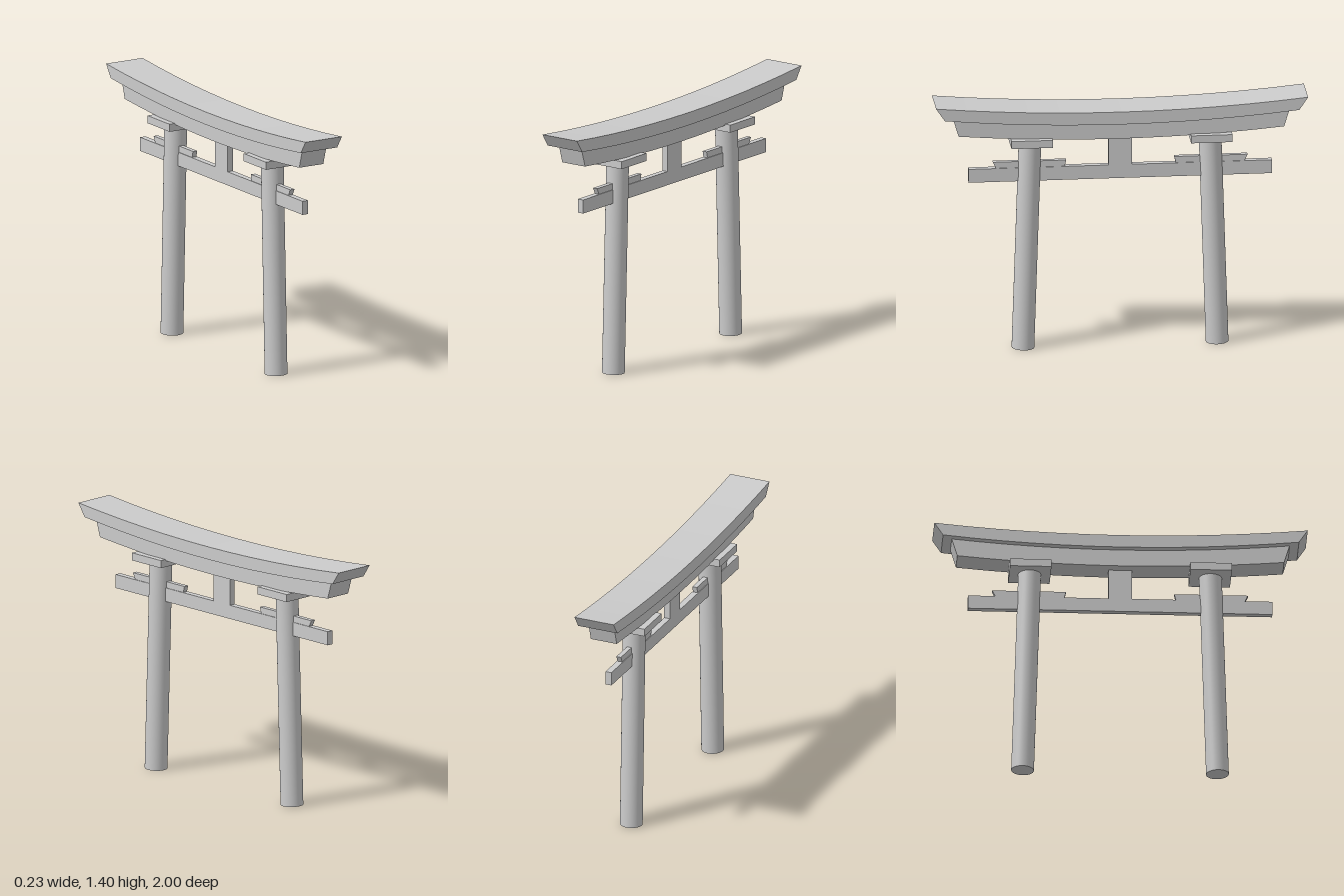
import * as THREE from 'three';

const material = new THREE.MeshStandardMaterial({ color: 0xcccccc, flatShading: true });
const smooth = new THREE.MeshStandardMaterial({ color: 0xcccccc });

function add(group, name, geometry, x, y, z, mat = material) {
  const mesh = new THREE.Mesh(geometry, mat);
  mesh.name = name;
  mesh.position.set(x, y, z);
  group.add(mesh);
  return mesh;
}

// Side outline (along z, height y) extruded to a thickness along x
function slab(points, thickness) {
  const shape = new THREE.Shape(points.map(([z, y]) => new THREE.Vector2(-z, y)));
  const geometry = new THREE.ExtrudeGeometry(shape, { depth: thickness, bevelEnabled: false });
  return geometry.translate(0, 0, -thickness / 2).rotateY(Math.PI / 2);
}

// Sagging beam: each edge is [half length, height at middle, height at end]
function curvedBeam(bottom, top, thickness) {
  const n = 12;
  const edge = ([half, mid, end]) => Array.from({ length: n + 1 }, (_, i) => {
    const t = (i / n) * 2 - 1;
    return [t * half, mid + (end - mid) * t * t];
  });
  return slab([...edge(bottom), ...edge(top).reverse()], thickness);
}

export function createModel() {
  const gate = new THREE.Group();
  gate.name = 'gate';

  // Curved top beams
  add(gate, 'roofBeam', curvedBeam([0.953, 1.28, 1.33], [1, 1.35, 1.4], 0.23), 0, 0, 0);
  add(gate, 'upperLintel', curvedBeam([0.875, 1.187, 1.227], [0.905, 1.28, 1.325], 0.152), 0, 0, 0);

  // Straight tie beam and centre strut
  add(gate, 'tieBeam', new THREE.BoxGeometry(0.035, 0.075, 1.63), 0, 0.983, 0);
  add(gate, 'centreStrut', new THREE.BoxGeometry(0.035, 0.19, 0.125), 0, 1.105, 0);

  for (const side of [1, -1]) {
    // Pillar leaning inward
    const height = 1.165;
    const lean = 0.038;
    const pillar = add(gate, 'pillar', new THREE.CylinderGeometry(0.061, 0.061, height, 32),
      0, height / 2 + 0.003, side * 0.503, smooth);
    pillar.rotation.x = -side * Math.atan(lean / height);

    // Cap plate on the pillar
    add(gate, 'pillarCap', new THREE.BoxGeometry(0.22, 0.042, 0.222), 0, 1.18, side * 0.483);

    // Wedge through the pillar, resting on the tie beam
    const outline = [[0.3, 1.015], [0.665, 1.015], [0.685, 1.055], [0.29, 1.055]];
    const wedge = outline.map(([z, y]) => [side * z, y]);
    if (side < 0) wedge.reverse();
    add(gate, 'wedge', slab(wedge, 0.027), 0, 0, 0);
  }
  return gate;
}
